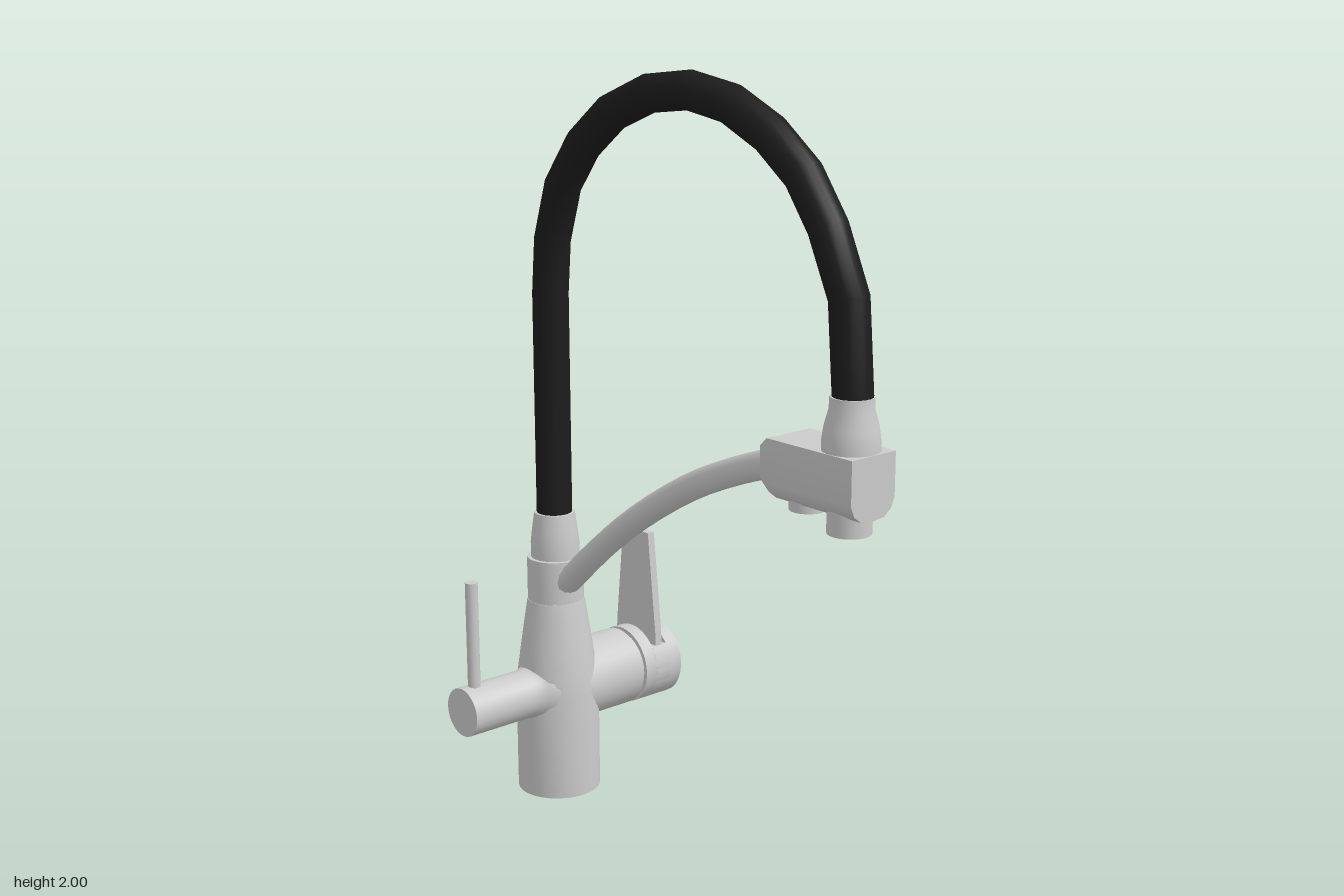
import * as THREE from 'three';
import { toCreasedNormals } from 'three/addons/utils/BufferGeometryUtils.js';

const CX = -0.021, BZ = -0.533, PIPE_Y = 0.295, HEAD_Z = 0.573, CAP_R = 0.109;

export function createModel() {
  const group = new THREE.Group();
  const metal = new THREE.MeshStandardMaterial({ color: 0xcccccc });
  const rubber = new THREE.MeshStandardMaterial({ color: 0x1c1c1c });

  const add = (name, geometry, x = 0, y = 0, z = 0, material = metal) => {
    const mesh = new THREE.Mesh(geometry, material);
    mesh.name = name;
    mesh.position.set(x, y, z);
    group.add(mesh);
  };

  const shapeOf = points => new THREE.Shape(points.map(p => new THREE.Vector2(...p)));

  // Turned part from [radius, height] pairs, bottom to top
  const turned = profile => toCreasedNormals(
    new THREE.LatheGeometry(profile.map(p => new THREE.Vector2(...p)), 28), 0.6);
  // Same, lying along x
  const turnedX = profile => turned(profile).rotateZ(-Math.PI / 2);
  // Flat outline in the z-y plane, given thickness along x
  const plateX = (shape, depth) => new THREE.ExtrudeGeometry(shape,
    { depth, bevelEnabled: false, curveSegments: 24 }).rotateY(Math.PI / 2);

  // Elliptical tube along [z, y, half width, half height] stations in the x = 0 plane
  const sweep = (stations, sides) => {
    const pos = [], index = [];
    stations.forEach(([z, y, a, b], i) => {
      const p = stations[Math.max(i - 1, 0)];
      const q = stations[Math.min(i + 1, stations.length - 1)];
      const t = new THREE.Vector3(0, q[1] - p[1], q[0] - p[0]).normalize();
      const v = t.clone().cross(new THREE.Vector3(1, 0, 0));
      for (let j = 0; j < sides; j++) {
        const angle = j / sides * Math.PI * 2, s = Math.sin(angle) * b;
        pos.push(Math.cos(angle) * a, y + v.y * s, z + v.z * s);
        if (i < stations.length - 1) {
          const k = i * sides, n = (j + 1) % sides;
          index.push(k + j, k + n, k + sides + n, k + j, k + sides + n, k + sides + j);
        }
      }
    });
    const g = new THREE.BufferGeometry();
    g.setAttribute('position', new THREE.Float32BufferAttribute(pos, 3));
    g.setIndex(index);
    g.computeVertexNormals();
    return g;
  };

  // Upright body with collar and hose socket
  add('body', turned([[0, 0], [0.114, 0], [0.114, 0.28], [0.108, 0.35], [0.098, 0.42],
    [0.086, 0.5], [0.078, 0.55]]), CX, 0, BZ);
  add('collar', turned([[0.077, 0.55], [0.077, 0.67], [0, 0.67]]), CX, 0, BZ);
  add('hoseSocket', turned([[0.066, 0.67], [0.066, 0.71], [0.062, 0.745], [0.055, 0.795],
    [0, 0.795]]), CX, 0, BZ);

  // Side pipes running into the body; the right one flares at its root
  add('mixerPipe', turnedX([[0, -0.01], [0.108, -0.01], [0.108, 0.2], [0.097, 0.2],
    [0.097, 0.212]]), 0, PIPE_Y, BZ);
  add('filterPipe', turnedX([[0, -0.343], [0.067, -0.343], [0.067, -0.145], [0.071, -0.125],
    [0.08, -0.108], [0.09, -0.094], [0.095, -0.08], [0, -0.08]]), 0, PIPE_Y, BZ);

  // Mixer cap: two discs either side of a section cut flat for the lever slot
  for (const [x0, x1] of [[0.212, 0.25], [0.3, 0.339]]) {
    add('mixerCapDisc', turnedX([[0, x0], [CAP_R, x0], [CAP_R, x1], [0, x1]]), 0, PIPE_Y, BZ);
  }
  const cut = Math.asin(0.065 / CAP_R);
  const slotted = new THREE.Shape();
  slotted.absarc(0, 0, CAP_R, Math.PI - cut, Math.PI * 2 + cut, false);
  add('mixerCapSlot', toCreasedNormals(plateX(slotted, 0.05), 0.6), 0.25, PIPE_Y, BZ);
  for (const side of [-1, 1]) {
    add('capStud', new THREE.CylinderGeometry(0.006, 0.006, 0.008, 8).rotateZ(Math.PI / 2),
      0.338, 0.35, BZ + side * 0.057);
  }

  // Round pin lever on the right, flat tapered lever on the left
  add('pinLever', new THREE.CylinderGeometry(0.017, 0.017, 0.31, 14), -0.302, 0.498, BZ);
  const blade = shapeOf([[-0.086, 0.355], [0.086, 0.355], [0.084, 0.4], [0.054, 0.685],
    [-0.054, 0.685], [-0.084, 0.4]]);
  add('flatLever', plateX(blade, 0.022), 0.264, 0, BZ);

  // Black arched hose
  const hosePath = [[0.576, 1.3], [0.557, 1.53], [0.488, 1.68], [0.408, 1.79], [0.297, 1.873],
    [0.165, 1.932], [0.02, 1.954], [-0.127, 1.937], [-0.27, 1.881], [-0.385, 1.794],
    [-0.472, 1.682], [-0.52, 1.537], [-0.533, 1.394], [-0.533, 0.78]];
  add('hose', sweep(hosePath.map(p => [...p, 0.048, 0.048]), 18), CX, 0, 0, rubber);

  // Support arm, broadening towards the body
  const arm = new THREE.SplineCurve([[0.36, 1.118], [0.19, 1.056], [0.016, 0.976], [-0.18, 0.854],
    [-0.34, 0.73], [-0.5, 0.586]].map(p => new THREE.Vector2(...p)));
  add('supportArm', sweep(arm.getPoints(15).map((p, i) =>
    [p.x, p.y, 0.026 + 0.018 * i / 15, 0.037 - 0.004 * i / 15]), 14), CX, 0, 0);

  // Spray head block with rounded underside and a softened back end
  const section = shapeOf([[-0.071, 1.185], [-0.071, 1.078], [-0.06, 1.052], [-0.037, 1.035],
    [0, 1.031], [0.037, 1.035], [0.06, 1.052], [0.071, 1.078], [0.071, 1.185]]);
  const head = new THREE.ExtrudeGeometry(section, { depth: 0.3, steps: 12, bevelEnabled: false });
  const hp = head.attributes.position;
  for (let i = 0; i < hp.count; i++) {
    if (hp.getZ(i) < 0.01) {
      hp.setXY(i, hp.getX(i) * 0.96, 1.11 + (hp.getY(i) - 1.11) * 0.7);
    }
  }
  add('sprayHead', toCreasedNormals(head, 0.6), CX, 0, 0.345);
  add('sprayHeadSocket', turned([[0.069, 1.18], [0.069, 1.205], [0.064, 1.24], [0.053, 1.28],
    [0.052, 1.31], [0, 1.31]]), CX, 0, HEAD_Z);
  add('mainNozzle', new THREE.CylinderGeometry(0.053, 0.053, 0.08, 24), CX, 1.028, HEAD_Z);
  add('filterNozzle', new THREE.CylinderGeometry(0.045, 0.045, 0.05, 24), CX, 1.04, 0.437);

  return group;
}
